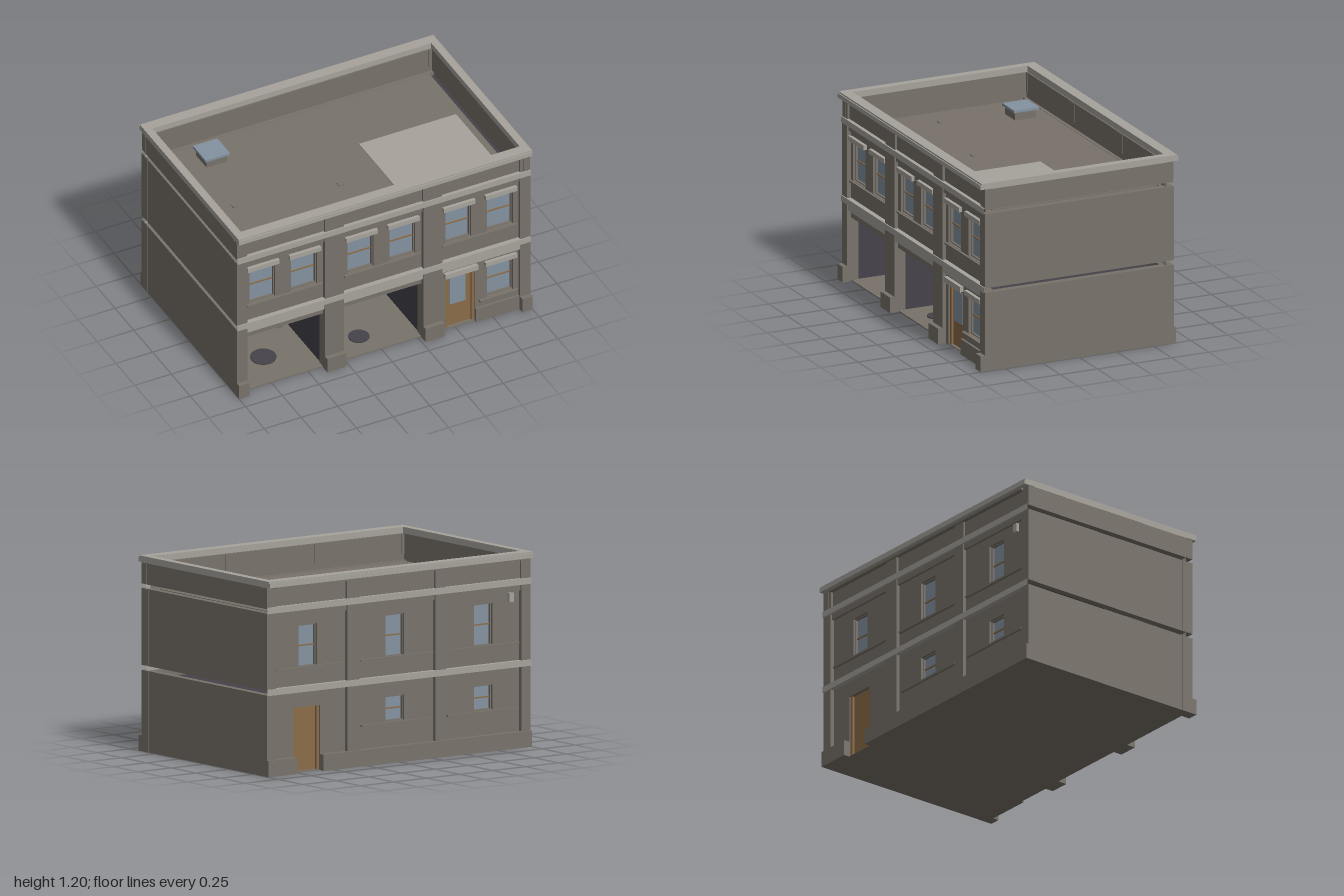
import * as THREE from 'three';

const mat = (name, color) => Object.assign(new THREE.MeshStandardMaterial({ color }), { name });
const stone = mat('stone', 0x78726a);
const trim = mat('paleTrim', 0xa7a39c);
const glass = mat('glass', 0x8493a1);
const wood = mat('wood', 0x8b6c48);
const dark = mat('darkInterior', 0x45424b);

// Box given by its limits; openEnds leaves out the two x faces
function box(parent, name, m, [x0, x1], [y0, y1], [z0, z1], openEnds = false) {
  const g = new THREE.BoxGeometry(x1 - x0, y1 - y0, z1 - z0);
  if (openEnds) g.setIndex(Array.from(g.index.array).slice(12));
  const mesh = new THREE.Mesh(g, m);
  mesh.name = name;
  mesh.position.set((x0 + x1) / 2, (y0 + y1) / 2, (z0 + z1) / 2);
  parent.add(mesh);
  return mesh;
}

function rect(path, [x0, x1], [y0, y1]) {
  path.moveTo(x0, y0); path.lineTo(x1, y0); path.lineTo(x1, y1); path.lineTo(x0, y1);
  path.closePath();
  return path;
}

// Recessed wall panel with openings
function panel(parent, xs, ys, openings) {
  const s = rect(new THREE.Shape(), xs, ys);
  openings.forEach(o => s.holes.push(rect(new THREE.Path(), o.x, o.y)));
  const mesh = new THREE.Mesh(new THREE.ExtrudeGeometry(s, { depth: 0.05, bevelEnabled: false }), stone);
  mesh.name = 'wallPanel';
  mesh.position.z = 0.56;
  parent.add(mesh);
}

function sashWindow(parent, { x: [x0, x1], y: [y0, y1] }, lintel) {
  const g = new THREE.Group();
  g.name = 'window';
  parent.add(g);
  box(g, 'pane', glass, [x0, x1], [y0, y1], [0.572, 0.58]);
  const mid = (y0 + y1) / 2;
  box(g, 'meetingRail', wood, [x0, x1], [mid - 0.004, mid + 0.004], [0.58, 0.587]);
  for (const x of [x0, x1 - 0.007]) box(g, 'sideFrame', stone, [x, x + 0.007], [y0, y1], [0.58, 0.595]);
  for (const y of [y0, y1 - 0.007]) box(g, 'crossFrame', stone, [x0, x1], [y, y + 0.007], [0.58, 0.595]);
  if (lintel) box(g, 'lintel', trim, [x0 - 0.02, x1 + 0.02], [y1, y1 + 0.03], [0.605, 0.632]);
}

function door(parent, { x: [x0, x1], y: [, y1] }, front) {
  const g = new THREE.Group();
  g.name = 'door';
  parent.add(g);
  box(g, 'doorLeaf', wood, [x0, x1], [0.002, y1], [0.565, 0.585]);
  for (const x of [x0, x1 - 0.018]) box(g, 'doorJamb', wood, [x, x + 0.018], [0.002, y1], [0.585, 0.6]);
  if (front) {
    box(g, 'doorGlass', glass, [x0 + 0.035, x0 + 0.145], [0.165, 0.365], [0.585, 0.59]);
    box(g, 'doorLintel', trim, [x0 - 0.015, x1 + 0.01], [0.4, 0.435], [0.605, 0.635]);
  }
}

// Piers, string courses and cornice shared by the street and yard sides
function facade(parent, bays, piers, front) {
  for (const xs of piers) {
    box(parent, 'lowerPier', stone, xs, [0, 0.5], [0.56, 0.635]);
    box(parent, 'upperPier', stone, xs, [0.535, 1.0], [0.56, 0.635]);
    box(parent, 'parapetPier', stone, xs, [1.035, 1.155], [0.58, 0.632]);
    if (front) box(parent, 'pierBase', stone, xs, [0, 0.1], [0.56, 0.665]);
  }
  for (const y of [0.497, 1.0]) box(parent, 'stringCourse', trim, [-1, 1], [y, y + 0.038], [0.585, 0.642], true);
  box(parent, 'parapetWall', stone, [-0.97, 0.97], [1.0, 1.16], [0.582, 0.618], true);
  box(parent, 'corniceFillet', stone, [-0.94, 0.94], [1.15, 1.162], [0.6, 0.645]);
  box(parent, 'cornice', trim, [-1, 1], [1.162, 1.19], [0.588, 0.665]);
  box(parent, 'corniceTop', trim, [-1, 1], [1.19, 1.2], [0.588, 0.658]);

  for (const { x, lower, upper, shop } of bays) {
    panel(parent, x, [shop ? 0.41 : 0, 0.5], lower);
    panel(parent, x, [0.535, 1.0], upper);
    upper.forEach(o => sashWindow(parent, o, front));
    lower.forEach(o => (o.door ? door(parent, o, front) : sashWindow(parent, o, front)));
    box(parent, 'panelHead', stone, x, [0.965, 1.0], [0.6, 0.625]);
    if (front) box(parent, 'fascia', trim, x, [0.455, 0.497], [0.605, 0.63]);
    box(parent, 'sillCourse', stone, [x[0] + 0.01, x[1] - 0.01], [0.638, 0.65], [0.605, 0.626]);
  }
}

const span = (c, w) => [c - w / 2, c + w / 2];

export function createModel() {
  const model = new THREE.Group();
  model.name = 'cornerBuilding';

  // Street side
  const street = new THREE.Group();
  street.name = 'streetFacade';
  model.add(street);
  const tall = c => ({ x: span(c, 0.175), y: [0.652, 0.905] });
  facade(street, [
    { x: [-0.93, -0.4], shop: true, lower: [], upper: [tall(-0.815), tall(-0.53)] },
    { x: [-0.27, 0.27], shop: true, lower: [], upper: [tall(-0.145), tall(0.14)] },
    {
      x: [0.4, 0.93], upper: [tall(0.52), tall(0.805)],
      lower: [{ x: [0.435, 0.635], y: [0.002, 0.4], door: true }, { x: span(0.805, 0.175), y: [0.155, 0.4] }],
    },
  ], [[-1, -0.93], [-0.4, -0.27], [0.27, 0.4], [0.93, 1]], true);
  box(street, 'plinth', stone, [0.635, 0.93], [0, 0.1], [0.6, 0.625]);
  box(street, 'windowSill', stone, [0.66, 0.92], [0.142, 0.155], [0.605, 0.632]);

  // Yard side
  const yard = new THREE.Group();
  yard.name = 'yardFacade';
  yard.rotation.y = Math.PI;
  model.add(yard);
  const plain = c => ({ x: span(c, 0.14), y: [0.645, 0.905] });
  const small = c => ({ x: span(c, 0.14), y: [0.25, 0.405] });
  facade(yard, [
    { x: [-0.93, -0.39], upper: [plain(-0.67)], lower: [{ x: [-0.78, -0.58], y: [0.002, 0.4], door: true }] },
    { x: [-0.29, 0.28], upper: [plain(-0.01)], lower: [small(-0.01)] },
    { x: [0.36, 0.93], upper: [plain(0.66)], lower: [small(0.66)] },
  ], [[-1, -0.93], [-0.39, -0.29], [0.28, 0.36], [0.93, 1]], false);
  box(yard, 'plinth', stone, [-1, -0.78], [0, 0.1], [0.6, 0.65]);
  box(yard, 'plinth', stone, [-0.58, 1], [0, 0.1], [0.6, 0.65]);
  for (const x of [[-0.27, 0.26], [0.38, 0.91]]) box(yard, 'lowerSill', stone, x, [0.236, 0.248], [0.605, 0.625]);
  box(yard, 'ventBox', trim, span(0.86, 0.035), [0.9, 0.955], [0.61, 0.63]);

  // Side walls in storeys with open joints between them
  for (const s of [-1, 1]) {
    const xs = s > 0 ? [0.955, 0.999] : [-0.999, -0.955];
    for (const ys of [[0, 0.5], [0.53, 1.003], [1.03, 1.16]]) box(model, 'sideWall', stone, xs, ys, [-0.634, 0.634]);
    box(model, 'sideCoping', trim, s > 0 ? [0.95, 1] : [-1, -0.95], [1.16, 1.2], [-0.588, 0.588]);
    const inner = new THREE.Mesh(new THREE.PlaneGeometry(1.17, 0.16), stone);
    inner.name = 'innerParapet';
    inner.rotation.y = -s * Math.PI / 2;
    inner.position.set(s * 0.952, 1.08, 0);
    model.add(inner);
  }

  // Roof with gutter, skylight and fittings
  box(model, 'roofGutter', dark, [-0.955, 0.955], [0.96, 0.975], [-0.582, 0.582]);
  box(model, 'roofDeck', stone, [-0.93, 0.922], [0.975, 0.998], [-0.56, 0.552]);
  box(model, 'roofMat', trim, [0.215, 0.877], [0.998, 1.002], [-0.115, 0.545]);
  box(model, 'skylightCurb', stone, [-0.715, -0.575], [0.998, 1.05], [-0.465, -0.325]);
  box(model, 'skylightGlass', glass, [-0.73, -0.562], [1.05, 1.066], [-0.48, -0.312]);
  for (const [x, z] of [[-0.74, 0.095], [-0.07, 0.195]])
    box(model, 'roofDrain', stone, span(x, 0.035), [0.998, 1.004], span(z, 0.035));

  // Ground floor rooms
  const rooms = new THREE.Group();
  rooms.name = 'shopRooms';
  model.add(rooms);
  box(rooms, 'groundSlab', stone, [-0.96, 0.96], [0, 0.008], [-0.6, 0.605]);
  box(rooms, 'ceiling', dark, [-0.95, 0.95], [0.44, 0.455], [-0.56, 0.56]);
  box(rooms, 'backWall', dark, [-0.95, 0.95], [0.008, 0.44], [-0.56, -0.54]);
  box(rooms, 'endWall', dark, [-0.954, -0.932], [0.008, 0.44], [-0.54, 0.56]);
  for (const x of [-0.335, 0.335]) box(rooms, 'partition', dark, span(x, 0.12), [0.008, 0.44], [-0.54, 0.56]);
  box(rooms, 'wallBoard', stone, [-0.87, -0.62], [0.19, 0.335], [-0.54, -0.52]);
  box(rooms, 'wallBoard', stone, [-0.22, 0.01], [0.19, 0.335], [-0.54, -0.52]);
  box(rooms, 'post', stone, [-0.91, -0.875], [0.008, 0.44], [0.11, 0.145]);
  box(rooms, 'post', stone, [-0.465, -0.435], [0.008, 0.44], [0.11, 0.145]);
  box(rooms, 'cabinet', stone, [-0.87, -0.815], [0.008, 0.14], [-0.5, -0.3]);
  box(rooms, 'counter', stone, [0.075, 0.21], [0.008, 0.165], [-0.45, -0.2]);
  box(rooms, 'counterTop', stone, [0.083, 0.205], [0.165, 0.2], [-0.45, -0.25]);
  box(rooms, 'displayCase', glass, [-0.24, -0.15], [0.008, 0.075], [-0.35, -0.27]);
  box(rooms, 'displayTop', stone, [-0.235, -0.165], [0.075, 0.135], [-0.35, -0.28]);
  for (const [x, z, r] of [[-0.68, 0.36, 0.08], [-0.07, 0.44, 0.065]]) {
    const disc = new THREE.Mesh(new THREE.CylinderGeometry(r, r, 0.006, 24), dark);
    disc.name = 'floorDisc';
    disc.position.set(x, 0.011, z);
    rooms.add(disc);
  }
  return model;
}
